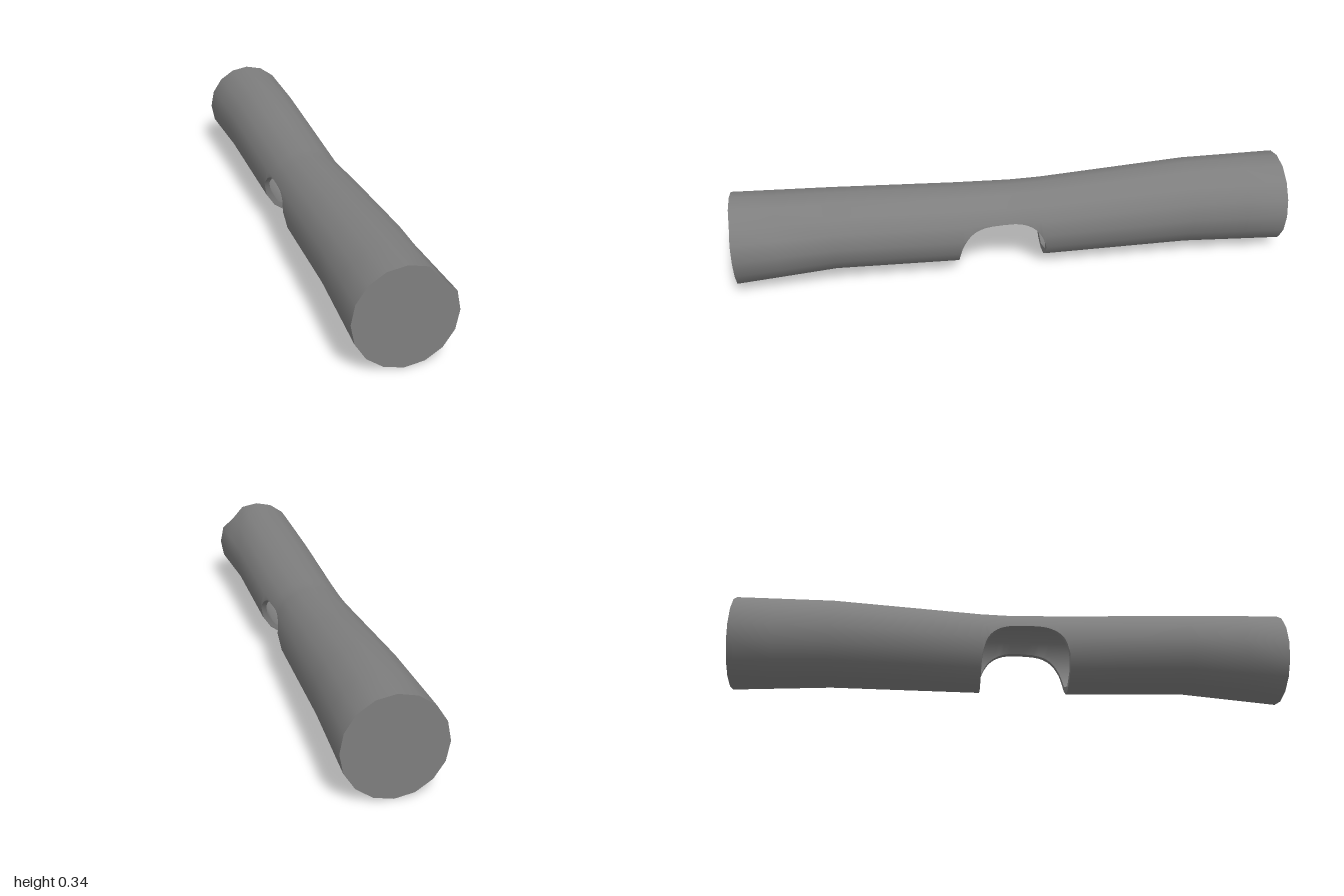
import * as THREE from 'three';
import { toCreasedNormals } from 'three/addons/utils/BufferGeometryUtils.js';

const SIDES = 16;
const STEP = 2 * Math.PI / SIDES;
const INNER = 0.87; // cavity size relative to the outside
const NOTCH = { mid: 0.05, half: 0.16, top: 0.21, power: 3.1 };

// cross-sections along the length: z, bottom y, top y, left x, right x
const SECTIONS = [
  [1, 0, 0.333, 0.166, -0.167],
  [0.65, 0.03, 0.322, 0.153, -0.157],
  [0.21, 0.017, 0.305, 0.146, -0.149],
  [0, 0.013, 0.298, 0.136, -0.147],
  [-0.11, 0.012, 0.302, 0.142, -0.147],
  [-0.65, 0.017, 0.337, 0.153, -0.158],
  [-1, 0, 0.337, 0.164, -0.168],
];

function sectionAt(z) {
  let i = 0;
  while (i < SECTIONS.length - 2 && z < SECTIONS[i + 1][0]) i++;
  const a = SECTIONS[i], b = SECTIONS[i + 1];
  const t = (z - a[0]) / (b[0] - a[0]);
  const [, y0, y1, x1, x0] = a.map((v, k) => THREE.MathUtils.lerp(v, b[k], t));
  return { cx: (x0 + x1) / 2, cy: (y0 + y1) / 2, rx: (x1 - x0) / 2, ry: (y1 - y0) / 2 };
}

// corner k of a many-sided section, counted from the bottom towards +x
function cornerAt(z, k, scale) {
  const s = sectionAt(z);
  // slight flat on the upper left of the front end
  const flat = k === 6 ? 0.1 * Math.max(0, (z - 0.65) / 0.35) : 0;
  const r = scale * (1 - flat);
  return [s.cx + r * s.rx * Math.sin(k * STEP), s.cy - r * s.ry * Math.cos(k * STEP), z];
}

// point on the straight side between two corners
function pointAt(z, u, scale) {
  const k = Math.floor(u), b = cornerAt(z, k + 1, scale);
  return cornerAt(z, k, scale).map((v, i) => THREE.MathUtils.lerp(v, b[i], u - k));
}

// corner count, with fraction, at which a section is cut at height h
function cutAt(z, h, scale) {
  if (h === undefined) return 0;
  const s = sectionAt(z);
  const c = THREE.MathUtils.clamp((s.cy - h) / (s.ry * scale), -1, 1);
  const k = Math.min(Math.floor(Math.acos(c) / STEP), SIDES / 2 - 1);
  const c0 = Math.cos(k * STEP);
  return k + (c0 - c) / (c0 - Math.cos((k + 1) * STEP));
}

function gridGeometry(rows, flip) {
  const n = rows[0].length, index = [];
  for (let i = 0; i < rows.length - 1; i++) {
    for (let j = 0; j < n - 1; j++) {
      const a = i * n + j, b = a + n, c = a + 1, d = b + 1;
      index.push(...(flip ? [a, c, b, c, d, b] : [a, b, c, c, b, d]));
    }
  }
  const g = new THREE.BufferGeometry();
  g.setAttribute('position', new THREE.Float32BufferAttribute(rows.flat(2), 3));
  g.setIndex(index);
  return toCreasedNormals(g, 0.9);
}

// one ring of points per station, drawn back to the cut where there is one
function ringRows(stations) {
  return stations.map(({ z, h, s }) => {
    const cut = cutAt(z, h, s);
    return Array.from({ length: SIDES + 1 }, (_, j) =>
      pointAt(z, THREE.MathUtils.clamp(j, cut, SIDES - cut), s));
  });
}

// rounded arch of the notch, front to back
function archStations(scale) {
  const list = [], steps = 24, e = 2 / NOTCH.power;
  for (let i = 0; i <= steps; i++) {
    const t = Math.PI * i / steps, c = Math.cos(t);
    const z = NOTCH.mid + NOTCH.half * Math.sign(c) * Math.abs(c) ** e;
    const s = sectionAt(z), bottom = s.cy - s.ry;
    const rise = Math.max(0, Math.sin(t)) ** e;
    list.push({ z, h: bottom + (NOTCH.top - bottom) * rise, s: scale });
  }
  return list;
}

export function createModel() {
  const group = new THREE.Group();
  const material = new THREE.MeshStandardMaterial({ color: 0x7e7e7e, side: THREE.DoubleSide });
  const add = (name, rows, flip) => {
    const mesh = new THREE.Mesh(gridGeometry(rows, flip), material);
    mesh.name = name;
    group.add(mesh);
  };
  const plain = (pairs) => pairs.map(([z, s]) => ({ z, s }));

  // outer wall with both end caps
  add('tubeBody', ringRows([
    ...plain([[1, 0], [1, 1], [0.85, 1], [0.65, 1], [0.4, 1]]),
    ...archStations(1),
    ...plain([[-0.35, 1], [-0.65, 1], [-0.85, 1], [-1, 1], [-1, 0]]),
  ]), false);

  // rounded cavity behind the notch
  add('cavity', ringRows([
    ...plain([[0.5, 0], [0.48, 0.45], [0.43, 0.7], [0.34, 0.83]]),
    ...archStations(INNER),
    ...plain([[-0.24, 0.83], [-0.33, 0.7], [-0.38, 0.45], [-0.4, 0]]),
  ]), true);

  // rim joining the outside to the cavity on each side
  for (const side of [1, -1]) {
    const rows = archStations(1).map(({ z, h }) =>
      [1, INNER].map((s) => pointAt(z, side * cutAt(z, h, s), s)));
    add(side > 0 ? 'notchRimLeft' : 'notchRimRight', rows, side > 0);
  }
  return group;
}
